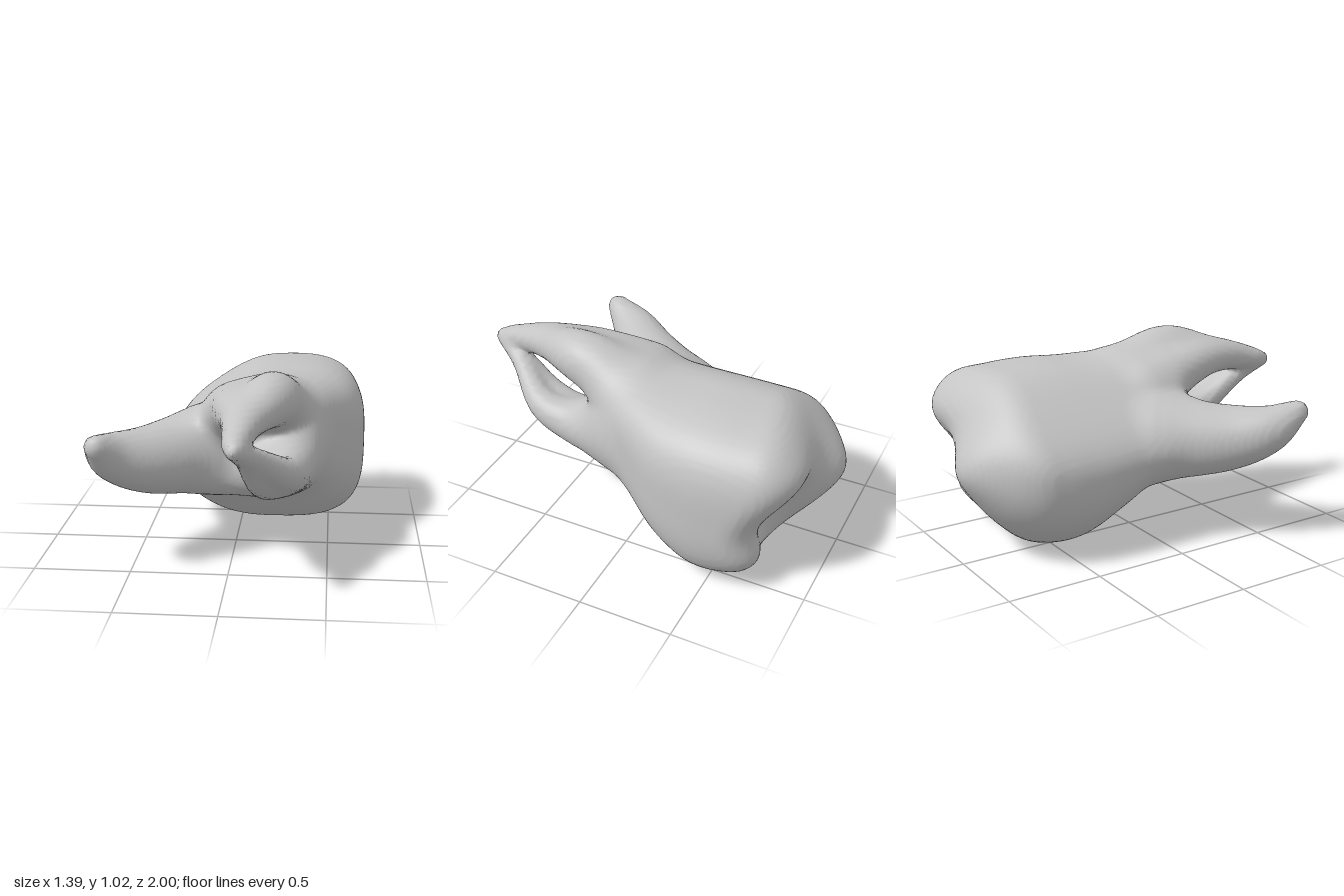
import * as THREE from 'three';

// Smooth union and smooth intersection of two distances
const smin = (a, b, k) => {
  const h = Math.max(k - Math.abs(a - b), 0) / k;
  return Math.min(a, b) - h * h * k / 4;
};
const smax = (a, b, k) => -smin(-a, -b, k);

// Crown and trunk outline every 0.2 along z from -1: left, right, bottom, top
const SECTIONS = [
  [-0.18, 0.60, 0.34, 0.78],
  [-0.35, 0.655, 0.12, 0.905],
  [-0.39, 0.685, 0.025, 0.925],
  [-0.40, 0.685, 0.015, 0.93],
  [-0.40, 0.64, 0.12, 0.92],
  [-0.40, 0.53, 0.26, 0.93],
  [-0.34, 0.42, 0.33, 0.92],
  [-0.28, 0.38, 0.38, 0.92],
];

function sectionAt(z) {
  const last = SECTIONS.length - 1;
  const u = THREE.MathUtils.clamp((z + 1) / 0.2, 0, last);
  const i = Math.min(Math.floor(u), last - 1), t = u - i;
  const key = (j) => SECTIONS[THREE.MathUtils.clamp(j, 0, last)];
  return [0, 1, 2, 3].map((n) => {
    const a = key(i - 1)[n], b = key(i)[n], c = key(i + 1)[n], d = key(i + 2)[n];
    return b + 0.5 * t * (c - a + t * (2 * a - 5 * b + 4 * c - d + t * (3 * (b - c) + d - a)));
  });
}

// Chewing surface: three rounded cusps and the groove between them
const CUSPS = [
  // x, y, spread x, spread y, height
  [-0.05, 0.45, 0.32, 0.31, 0.325],
  [0.48, 0.74, 0.38, 0.28, 0.25],
  [0.58, 0.18, 0.20, 0.16, 0.11],
  [0.38, 0.36, 0.11, 0.18, -0.06],
];
const cuspDepth = (x, y) => CUSPS.reduce((sum, [cx, cy, sx, sy, h]) =>
  sum + h * Math.exp(-(((x - cx) / sx) ** 2) - ((y - cy) / sy) ** 2), 0.67);

function bodyDistance(x, y, z) {
  const [l, r, b, t] = sectionAt(z);
  const hx = (r - l) / 2, hy = (t - b) / 2;
  const dx = (x - (l + r) / 2) / hx, dy = (y - (b + t) / 2) / hy;
  const n = dx > 0 ? 3.3 : 2.2;
  const q = (Math.abs(dx) ** n + Math.abs(dy) ** n) ** (1 / n);
  let d = (q - 1) * Math.min(hx, hy);
  d = smax(d, -0.59 * x + 0.8 * y - 0.72, 0.1);   // sloping upper shoulder
  d = smax(d, -cuspDepth(x, y) - z, 0.14);        // chewing end
  return smax(d, z - 0.27, 0.12);                 // fork between the roots
}

// A root is a curve with a changing radius; points are x, y, z, radius
function makeRoot(points) {
  const path = new THREE.CatmullRomCurve3(
    points.map((p) => new THREE.Vector3(p[0], p[1], p[2])), false, 'catmullrom');
  const radius = new THREE.CatmullRomCurve3(
    points.map((p) => new THREE.Vector3(p[3], 0, 0)), false, 'catmullrom');
  const steps = 36, s = [];
  for (let i = 0; i <= steps; i++) {
    s.push([...path.getPoint(i / steps).toArray(), radius.getPoint(i / steps).x]);
  }
  return (x, y, z) => {
    let best = Infinity;
    for (let i = 0; i < steps; i++) {
      const a = s[i], b = s[i + 1];
      const ux = b[0] - a[0], uy = b[1] - a[1], uz = b[2] - a[2];
      const px = x - a[0], py = y - a[1], pz = z - a[2];
      const dot = (px * ux + py * uy + pz * uz) / (ux * ux + uy * uy + uz * uz);
      const t = Math.min(1, Math.max(0, dot));
      const qx = px - ux * t, qy = py - uy * t, qz = pz - uz * t;
      const d = Math.sqrt(qx * qx + qy * qy + qz * qz) - a[3] - (b[3] - a[3]) * t;
      best = Math.min(best, d);
    }
    return best;
  };
}

// The upper and lower roots are flattened, so each is a pair of curves
const sideRoot = makeRoot([
  [-0.20, 0.54, 0.08, 0.225], [-0.42, 0.555, 0.32, 0.175],
  [-0.57, 0.61, 0.48, 0.125], [-0.635, 0.70, 0.625, 0.06]]);
const upperRoot = makeRoot([
  [0.20, 0.78, 0.10, 0.17], [0.20, 0.89, 0.38, 0.138],
  [0.12, 0.86, 0.65, 0.08], [0.06, 0.805, 0.92, 0.035]]);
const upperRootInner = makeRoot([
  [0.00, 0.75, 0.12, 0.165], [0.015, 0.835, 0.40, 0.11],
  [0.045, 0.85, 0.65, 0.07], [0.06, 0.805, 0.88, 0.035]]);
const lowerRoot = makeRoot([
  [0.26, 0.57, 0.10, 0.21], [0.28, 0.53, 0.38, 0.125],
  [0.28, 0.585, 0.60, 0.08], [0.155, 0.715, 0.80, 0.048], [0.065, 0.795, 0.968, 0.031]]);
const lowerRootInner = makeRoot([
  [0.18, 0.55, 0.10, 0.20], [0.19, 0.50, 0.38, 0.12],
  [0.16, 0.56, 0.60, 0.08], [0.105, 0.70, 0.80, 0.048], [0.065, 0.79, 0.95, 0.03]]);

function toothDistance(x, y, z) {
  const upper = smin(upperRoot(x, y, z), upperRootInner(x, y, z), 0.1);
  const lower = smin(lowerRoot(x, y, z), lowerRootInner(x, y, z), 0.05);
  const pair = smin(upper, lower, 0.025);
  const roots = smin(pair, sideRoot(x, y, z), 0.04);
  return smin(bodyDistance(x, y, z), roots, 0.09);
}

// Wrap a smooth quad mesh around the zero level of a distance function
function wrapSurface(distance, min, max, cell) {
  const n = min.map((m, i) => Math.ceil((max[i] - m) / cell) + 1);
  const stride = [1, n[0], n[0] * n[1]];
  const values = new Float32Array(n[0] * n[1] * n[2]);
  const eachPoint = (visit) => {
    for (let k = 0; k < n[2]; k++)
      for (let j = 0; j < n[1]; j++)
        for (let i = 0; i < n[0]; i++) visit([i, j, k], i + j * stride[1] + k * stride[2]);
  };
  eachPoint((p, id) => {
    values[id] = distance(...p.map((v, a) => min[a] + v * cell));
  });

  // One vertex per crossed cell, at the mean of its edge crossings
  const vertex = new Int32Array(values.length).fill(-1);
  const positions = [], index = [];
  eachPoint((p, id) => {
    if (p.some((v, a) => v >= n[a] - 1)) return;
    const sum = [0, 0, 0];
    let count = 0;
    for (let c = 0; c < 8; c++) {
      const o = [c & 1, (c >> 1) & 1, c >> 2];
      const from = id + o[0] + o[1] * stride[1] + o[2] * stride[2];
      for (let a = 0; a < 3; a++) {
        if (o[a]) continue;
        const f = values[from], g = values[from + stride[a]];
        if ((f < 0) === (g < 0)) continue;
        for (let m = 0; m < 3; m++) sum[m] += o[m] + (m === a ? f / (f - g) : 0);
        count++;
      }
    }
    if (!count) return;
    vertex[id] = positions.length / 3;
    positions.push(...p.map((v, a) => min[a] + (v + sum[a] / count) * cell));
  });

  // One quad per crossed grid edge
  eachPoint((p, id) => {
    for (let a = 0; a < 3; a++) {
      const b = (a + 1) % 3, c = (a + 2) % 3;
      if (p[a] >= n[a] - 1 || p[b] < 1 || p[c] < 1) continue;
      const inside = values[id] < 0;
      if (inside === (values[id + stride[a]] < 0)) continue;
      const quad = [id - stride[b] - stride[c], id - stride[c], id, id - stride[b]].map((q) => vertex[q]);
      if (!inside) quad.reverse();
      index.push(quad[0], quad[1], quad[2], quad[0], quad[2], quad[3]);
    }
  });

  const geometry = new THREE.BufferGeometry();
  geometry.setAttribute('position', new THREE.Float32BufferAttribute(positions, 3));
  geometry.setIndex(index);
  geometry.computeVertexNormals();
  return geometry;
}

export function createModel() {
  const group = new THREE.Group();
  group.name = 'molarTooth';
  const enamel = new THREE.MeshStandardMaterial({ color: 0xc4c4c4 });
  enamel.name = 'greyEnamel';

  const geometry = wrapSurface(toothDistance, [-0.8, -0.1, -1.12], [0.8, 1.15, 1.1], 0.021);

  // Centre the tooth and stand it on the ground
  geometry.computeBoundingBox();
  const { min, max } = geometry.boundingBox;
  geometry.translate(-(min.x + max.x) / 2, -min.y, -(min.z + max.z) / 2);

  const tooth = new THREE.Mesh(geometry, enamel);
  tooth.name = 'crownAndRoots';
  group.add(tooth);
  return group;
}
